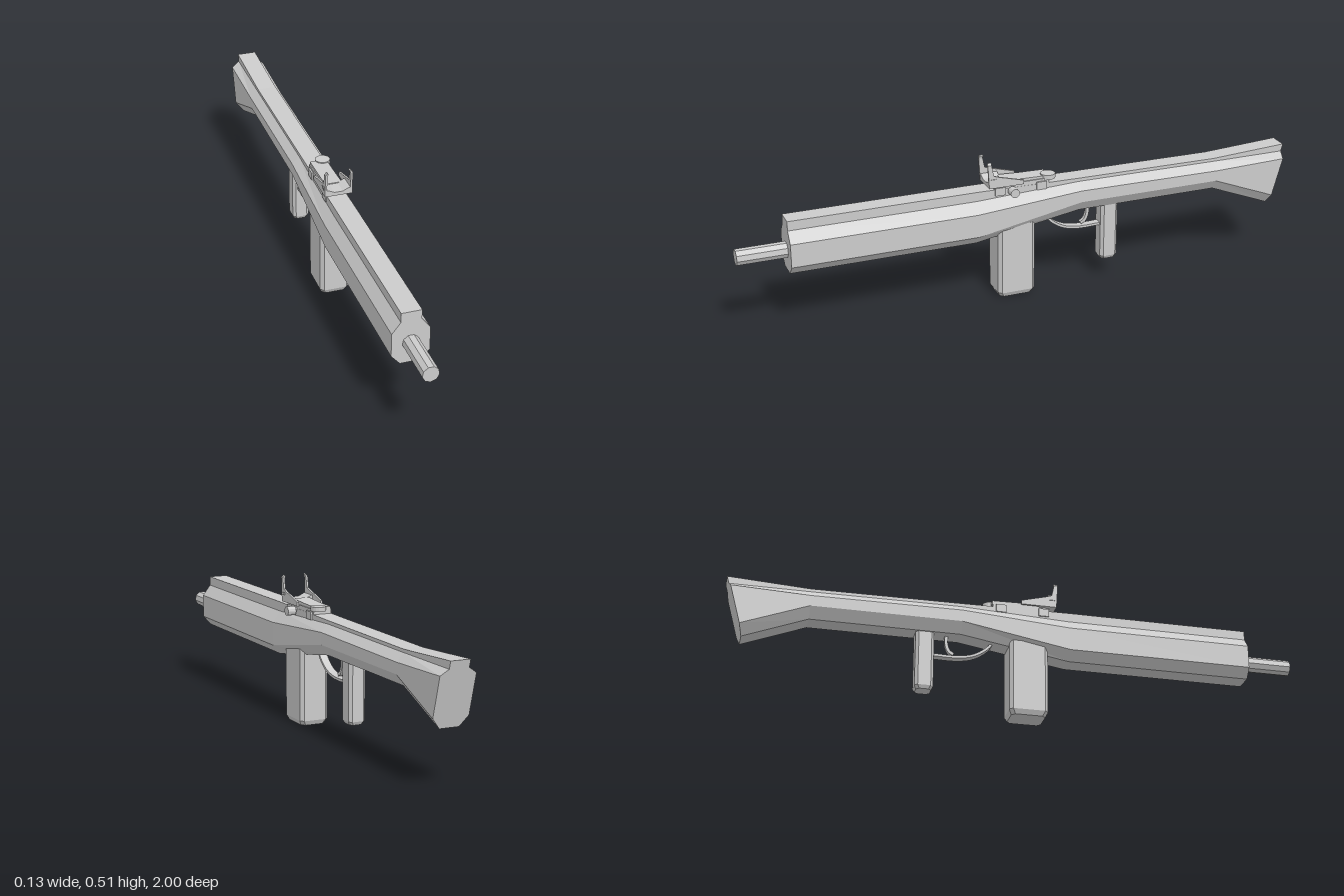
import * as THREE from 'three';
import { ConvexGeometry } from 'three/addons/geometries/ConvexGeometry.js';

const CX = -0.005; // centre line of the body
const mat = new THREE.MeshStandardMaterial({ color: 0xcccccc, flatShading: true, side: THREE.DoubleSide });

export function createModel() {
  const model = new THREE.Group();
  const add = (name, geometry, x = CX, y = 0, z = 0, parent = model) => {
    const mesh = new THREE.Mesh(geometry, mat);
    mesh.name = name;
    mesh.position.set(x, y, z);
    parent.add(mesh);
    return mesh;
  };
  const shape = (pts) => new THREE.Shape(pts.map((p) => new THREE.Vector2(...p)));
  // (x, y) outline extruded along z, centred
  const frontPlate = (pts, depth) =>
    new THREE.ExtrudeGeometry(shape(pts), { depth, bevelEnabled: false }).translate(0, 0, -depth / 2);
  // (z, y) outline extruded along x, centred
  const sidePlate = (pts, depth) => frontPlate(pts, depth).rotateY(-Math.PI / 2);

  // Body: mirrored ten-sided sections lofted from muzzle to butt
  // z, half width, then heights of top, notch, shoulder, lower edge, bottom
  const sections = [
    [0.83, 0.063, 0.403, 0.37, 0.332, 0.25, 0.217],
    [0.18, 0.063, 0.403, 0.37, 0.332, 0.25, 0.217],
    [-0.2, 0.06, 0.398, 0.386, 0.36, 0.318, 0.28],
    [-0.72, 0.06, 0.394, 0.383, 0.356, 0.318, 0.28],
    [-1, 0.062, 0.409, 0.383, 0.364, 0.228, 0.193],
  ];
  const rings = sections.map(([z, w, ...ys], s) => {
    const half = ys.map((y, i) => {
      const slant = s === sections.length - 1 ? (0.06 * (0.409 - y)) / 0.216 : 0;
      return [i === 2 || i === 3 ? w : 0.034, y, z + slant];
    });
    return [...half, ...half.map(([x, y, zz]) => [-x, y, zz]).reverse()];
  });
  const pos = [];
  const quad = (a, b, c, d) => pos.push(...a, ...b, ...c, ...a, ...c, ...d);
  for (let i = 0; i < rings.length - 1; i++)
    for (let j = 0; j < 10; j++) {
      const k = (j + 1) % 10;
      quad(rings[i][j], rings[i][k], rings[i + 1][k], rings[i + 1][j]);
    }
  const first = rings[0], last = rings[rings.length - 1];
  for (let j = 0; j < 4; j++) {
    quad(first[9 - j], first[8 - j], first[j + 1], first[j]);
    quad(last[j], last[j + 1], last[8 - j], last[9 - j]);
  }
  const bodyGeo = new THREE.BufferGeometry();
  bodyGeo.setAttribute('position', new THREE.Float32BufferAttribute(pos, 3));
  bodyGeo.computeVertexNormals();
  add('body', bodyGeo);

  // Barrel
  add('barrel', new THREE.CylinderGeometry(0.028, 0.028, 0.2, 9).rotateX(Math.PI / 2), CX, 0.29, 0.9);

  // Upright blocks with chamfered corners and bottom edge
  const chamferBlock = (w, d, y0, y1, c, b) => {
    const pts = [];
    for (const [y, inset] of [[y0, b], [y0 + b, 0], [y1, 0]])
      for (const sx of [-1, 1])
        for (const sz of [-1, 1]) {
          const x = w / 2 - inset * 0.5, z = d / 2 - inset * 0.5;
          pts.push(new THREE.Vector3(sx * (x - c), y, sz * z), new THREE.Vector3(sx * x, y, sz * (z - c)));
        }
    return new ConvexGeometry(pts);
  };
  add('magazine', chamferBlock(0.105, 0.135, 0, 0.27, 0.012, 0.017), CX, 0, 0.036);
  add('grip', chamferBlock(0.06, 0.064, 0.07, 0.3, 0.01, 0.012), CX, 0, -0.322);

  // Trigger guard and trigger: flat strips following a curve in z, y
  const strip = (path, thick, width) => {
    const pts = new THREE.CatmullRomCurve3(path.map(([z, y]) => new THREE.Vector3(z, y, 0))).getPoints(14);
    const edge = (s) => pts.map((p, i) => {
      const t = pts[Math.min(i + 1, 14)].clone().sub(pts[Math.max(i - 1, 0)]).normalize();
      return [p.x - (t.y * thick * s) / 2, p.y + (t.x * thick * s) / 2];
    });
    return sidePlate([...edge(1), ...edge(-1).reverse()], width);
  };
  add('triggerGuard', strip([[-0.08, 0.28], [-0.1, 0.25], [-0.145, 0.218], [-0.2, 0.204], [-0.3, 0.204]], 0.009, 0.028));
  add('trigger', strip([[-0.245, 0.285], [-0.245, 0.25], [-0.235, 0.225], [-0.22, 0.215]], 0.011, 0.014));

  // Sight on top of the body
  const sight = new THREE.Group();
  sight.name = 'sight';
  sight.position.x = CX;
  model.add(sight);
  add('sightBase', new THREE.BoxGeometry(0.066, 0.018, 0.2), 0, 0.407, 0.012, sight);
  add('sightCradle', frontPlate([
    [-0.048, 0.414], [0.048, 0.414], [0.048, 0.437], [0.036, 0.437], [0.015, 0.427],
    [-0.015, 0.427], [-0.036, 0.437], [-0.048, 0.437],
  ], 0.06), 0, 0, 0.105, sight);
  add('sightArm', sidePlate([
    [0.08, 0.412], [0.08, 0.43], [0, 0.426], [-0.09, 0.424], [-0.09, 0.412],
  ], 0.058), 0, 0, 0, sight);
  add('sightDial', new THREE.CylinderGeometry(0.026, 0.026, 0.016, 16), 0.016, 0.42, -0.09, sight);
  for (const side of [-1, 1]) {
    // Upright ear with a swept-back cheek and an inward tip
    add('sightEar', sidePlate([
      [0.135, 0.414], [0.14, 0.498], [0.127, 0.498], [0.118, 0.458], [0.1, 0.452], [0.01, 0.428], [0.01, 0.414],
    ], 0.007), side * 0.0445, 0, 0, sight);
    add('sightEarTip', frontPlate([
      [side * 0.048, 0.496], [side * 0.041, 0.506], [side * 0.037, 0.503], [side * 0.041, 0.492],
    ], 0.014), 0, 0, 0.133, sight);
    add('sightEarFoot', new THREE.BoxGeometry(0.01, 0.008, 0.02), side * 0.046, 0.443, 0.12, sight);
    // Clamps gripping the top rib
    for (const z of [0.092, -0.06])
      add('sightClamp', new THREE.BoxGeometry(0.008, 0.028, 0.036), side * 0.035, 0.394, z, sight);
  }
  // Side adjustment knob
  add('sightKnob', new THREE.CylinderGeometry(0.016, 0.016, 0.03, 12).rotateZ(Math.PI / 2), 0.055, 0.393, 0.05, sight);
  add('sightKnobStem', new THREE.CylinderGeometry(0.008, 0.008, 0.03, 8).rotateZ(Math.PI / 2), 0.035, 0.397, 0.05, sight);

  return model;
}
